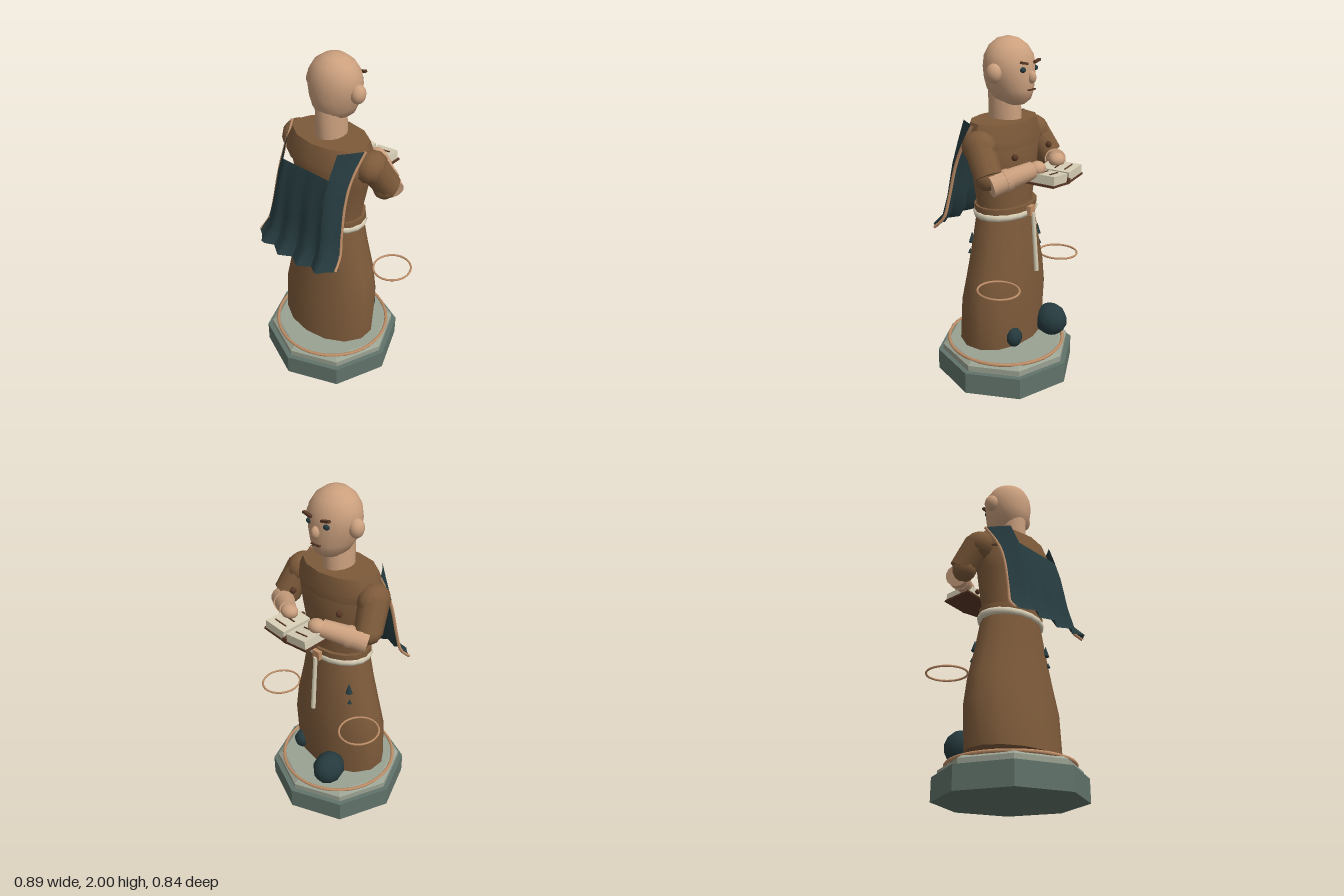
import * as THREE from 'three';
import { toCreasedNormals } from 'three/addons/utils/BufferGeometryUtils.js';

const material = (name, color, side = THREE.FrontSide) => {
  const m = new THREE.MeshStandardMaterial({ color, side });
  m.name = name;
  return m;
};

export function createModel() {
  const model = new THREE.Group();
  model.name = 'robedReader';
  const skin = material('skin', 0xcba07e);
  const robe = material('robe brown', 0x7d5a3a);
  const teal = material('dark teal', 0x263b3f, THREE.DoubleSide);
  const stone = material('dark stone', 0x61736a);
  const paleStone = material('pale stone', 0x9aa292);
  const cream = material('cream', 0xd6cdb4);
  const wood = material('dark brown', 0x593826);
  const tan = material('tan trim', 0xc08f68);

  const add = (name, geo, mat, pos = [0, 0, 0], rot = [0, 0, 0], scale = [1, 1, 1]) => {
    const mesh = new THREE.Mesh(geo, mat);
    mesh.name = name;
    mesh.position.set(...pos);
    mesh.rotation.set(...rot);
    mesh.scale.set(...scale);
    model.add(mesh);
    return mesh;
  };
  const box = (w, h, d) => new THREE.BoxGeometry(w, h, d);
  const ball = (name, mat, pos, radii, seg = 14) =>
    add(name, new THREE.SphereGeometry(1, seg, Math.max(5, seg * 0.7 | 0)), mat, pos, [0, 0, 0], radii);

  // Stack of ellipses; each row is [y, radiusX, radiusZ, centreZ]
  const loft = (rows, sides, crease = 0.9) => {
    const geo = new THREE.LatheGeometry(rows.map(r => new THREE.Vector2(1, r[0])), sides);
    const p = geo.attributes.position;
    for (let i = 0; i < p.count; i++) {
      const [, rx, rz, cz = 0] = rows[i % rows.length];
      p.setX(i, p.getX(i) * rx);
      p.setZ(i, p.getZ(i) * rz + cz);
    }
    return toCreasedNormals(geo, crease);
  };
  // Tapered round limb between two points
  const limb = (name, mat, a, b, ra, rb, sides = 14) => {
    const from = new THREE.Vector3(...a), to = new THREE.Vector3(...b);
    const dir = to.clone().sub(from);
    const mesh = add(name, new THREE.CylinderGeometry(rb, ra, dir.length(), sides), mat);
    mesh.position.copy(from).add(to).multiplyScalar(0.5);
    mesh.quaternion.setFromUnitVectors(new THREE.Vector3(0, 1, 0), dir.normalize());
  };
  const tube = (name, mat, pts, r) => add(name, new THREE.TubeGeometry(
    new THREE.CatmullRomCurve3(pts.map(p => new THREE.Vector3(...p))), 20, r, 6), mat);

  // Octagonal plinth
  add('plinth', loft([[0, 0, 0], [0, 0.42, 0.42], [0.13, 0.42, 0.42], [0.13, 0, 0]], 8, 0.2), stone);
  add('plinthTop', loft([[0.13, 0.39, 0.39], [0.165, 0.39, 0.39], [0.188, 0.355, 0.355], [0.188, 0, 0]], 8, 0.2), paleStone);
  add('plinthRing', new THREE.TorusGeometry(0.35, 0.01, 6, 40), tan, [0, 0.187, 0], [Math.PI / 2, 0, 0]);

  // Shoes
  for (const s of [-1, 1]) ball('shoe', teal, [s * 0.135, 0.28, -0.02], [0.075, 0.083, 0.12]);
  ball('forwardToe', teal, [-0.145, 0.302, -0.235], [0.09, 0.1, 0.105], 10);
  ball('hiddenToe', teal, [0.16, 0.3, -0.165], [0.05, 0.06, 0.05], 8);

  // Robe, torso and shoulder mantle
  add('robeSkirt', loft([[0.235, 0, 0, 0.025], [0.235, 0.31, 0.22, 0.025], [0.5, 0.318, 0.21, 0.01],
    [0.66, 0.287, 0.193, 0], [0.85, 0.235, 0.172, 0], [1.03, 0.195, 0.155, 0]], 14), robe);
  add('torso', loft([[1.02, 0.195, 0.15, 0.005], [1.1, 0.2, 0.145, 0.005], [1.3, 0.24, 0.16, 0.005],
    [1.43, 0.27, 0.165, 0.01], [1.52, 0.24, 0.14, 0.01]], 14), robe);
  add('mantle', loft([[1.42, 0, 0, 0.02], [1.42, 0.285, 0.18, 0.02], [1.46, 0.285, 0.178, 0.018],
    [1.555, 0.24, 0.155, 0.012], [1.56, 0, 0, 0.012]], 12, 0.6), robe);
  add('waistband', loft([[1.045, 0.215, 0.162], [1.078, 0.215, 0.162], [1.078, 0, 0]], 16), robe);

  // Belt with knot and hanging cord
  add('belt', loft([[1.008, 0.19, 0.15], [1.01, 0.218, 0.162], [1.028, 0.225, 0.168],
    [1.045, 0.218, 0.162], [1.048, 0.19, 0.15]], 18, 1.2), cream);
  add('beltKnot', box(0.05, 0.055, 0.03), tan, [0, 1.043, -0.17]);
  limb('beltCord', cream, [0, 1.03, -0.187], [0, 0.68, -0.215], 0.012, 0.014, 8);

  // Teardrops on the robe and hoops beside it
  for (const [x, z] of [[0.15, 0.135], [-0.185, -0.105]]) {
    add('robeTeardrop', new THREE.ConeGeometry(0.022, 0.065, 6), teal, [x, 0.862, z]);
    add('robeSmallTeardrop', new THREE.ConeGeometry(0.014, 0.03, 6), teal, [x * 1.06, 0.778, z * 1.06]);
  }
  for (const s of [-1, 1])
    add('hoop', new THREE.TorusGeometry(0.11, 0.006, 6, 32), tan, [s * 0.327, 0.672, -0.172], [Math.PI / 2, 0, 0], [1, 1.08, 1]);

  // Neck, head and face
  add('neck', loft([[1.54, 0.08, 0.098, 0.005], [1.72, 0.075, 0.095, 0.01]], 16), skin);
  add('head', loft([[1.635, 0, 0, -0.055], [1.64, 0.05, 0.06, -0.055], [1.67, 0.09, 0.108, -0.043],
    [1.72, 0.115, 0.135, -0.03], [1.78, 0.138, 0.14, -0.025], [1.84, 0.15, 0.14, -0.023],
    [1.9, 0.142, 0.13, -0.02], [1.95, 0.11, 0.103, -0.017], [1.985, 0.06, 0.06, -0.015], [2, 0, 0, -0.015]], 20, 1.3), skin);
  ball('nose', skin, [0, 1.79, -0.165], [0.024, 0.035, 0.027], 10);
  for (const s of [-1, 1]) {
    ball('ear', skin, [s * 0.15, 1.815, -0.025], [0.04, 0.052, 0.045]);
    ball('eye', teal, [s * 0.06, 1.832, -0.148], [0.02, 0.015, 0.016], 10);
    add('eyebrow', box(0.058, 0.012, 0.018), wood, [s * 0.063, 1.868, -0.158], [0, 0, s * 0.2]);
  }
  add('mouth', box(0.062, 0.008, 0.014), wood, [0, 1.724, -0.166]);

  // Sleeves, forearms and hands
  for (const s of [-1, 1]) {
    ball('shoulder', robe, [s * 0.265, 1.44, -0.01], [0.085, 0.09, 0.1], 12);
    limb('sleeve', robe, [s * 0.27, 1.45, -0.01], [s * 0.31, 1.3, -0.1], 0.085, 0.078, 10);
    ball('sleeveElbow', robe, [s * 0.305, 1.295, -0.085], [0.068, 0.07, 0.075], 10);
    limb('forearm', skin, [s * 0.33, 1.262, -0.125], [s * 0.13, 1.325, -0.26], 0.062, 0.048);
    limb('wristband', skin, [s * 0.265, 1.282, -0.169], [s * 0.24, 1.29, -0.186], 0.062, 0.061);
    ball('hand', skin, [s * 0.105, 1.33, -0.272], [0.052, 0.04, 0.045]);
  }

  // Bead necklace across the chest
  for (const s of [-1, 1])
    for (const [x, y, r] of [[0.175, 1.39, 0.019], [0.105, 1.265, 0.016], [0.06, 1.235, 0.015], [0.02, 1.22, 0.015]])
      ball('bead', wood, [s * x, y, -0.176], [r, r, r], 8);

  // Open book
  add('bookSpine', box(0.026, 0.03, 0.21), wood, [0, 1.255, -0.305]);
  for (const s of [-1, 1]) {
    const tilt = [0, 0, s * 0.1];
    add('bookCover', box(0.158, 0.012, 0.205), wood, [s * 0.084, 1.253, -0.304], tilt);
    add('bookPages', box(0.14, 0.048, 0.192), cream, [s * 0.081, 1.283, -0.307], tilt);
    for (const z of [-0.36, -0.3])
      add('pageLine', box(0.085, 0.006, 0.006), wood, [s * 0.08, 1.309, z], tilt);
  }

  // Cape: rows are [y, halfWidth, edgeZ, backZ, foldDepth]
  const capeRows = [[1.555, 0.26, 0.045, 0.16, 0], [1.42, 0.243, 0.13, 0.215, 0], [1.3, 0.243, 0.18, 0.255, 0.006],
    [1.1, 0.255, 0.225, 0.29, 0.014], [0.98, 0.27, 0.25, 0.322, 0.024], [0.915, 0.287, 0.31, 0.385, 0.045]];
  const capePoint = (row, u) => {
    const [y, w, edge, back, fold] = capeRows[row];
    const bulge = Math.min(1, (1 - Math.abs(u)) * 3.2);
    const wave = Math.abs(((u * 2 + 20) % 1) - 0.5) * 2;
    const hem = row > 3 ? 0.028 * u * u - 0.014 : 0;
    return [u * w, y + hem, edge + (back - edge) * bulge - fold * wave * bulge];
  };
  const sheet = (rows, us) => {
    const pos = [], idx = [], n = us.length;
    rows.forEach(r => us.forEach(u => pos.push(...capePoint(r, u))));
    for (let r = 0; r < rows.length - 1; r++)
      for (let c = 0; c < n - 1; c++) {
        const a = r * n + c;
        idx.push(a, a + n, a + 1, a + 1, a + n, a + n + 1);
      }
    const geo = new THREE.BufferGeometry();
    geo.setAttribute('position', new THREE.Float32BufferAttribute(pos, 3));
    geo.setIndex(idx);
    return toCreasedNormals(geo, 0.7);
  };
  const across = Array.from({ length: 25 }, (_, i) => i / 12 - 1);
  add('cape', sheet([1, 2, 3, 4, 5], across), teal);
  for (const s of [-1, 1]) {
    const us = [0.67, 0.8, 0.9, 1].map(u => u * s);
    add('capeStrap', sheet([0, 1], s > 0 ? us : us.reverse()), teal);
    tube('capeTrim', tan, [0, 1, 2, 3, 4, 5].map(r => {
      const [x, y, z] = capePoint(r, s);
      return [x, y, z - 0.008];
    }), 0.009);
  }
  return model;
}
